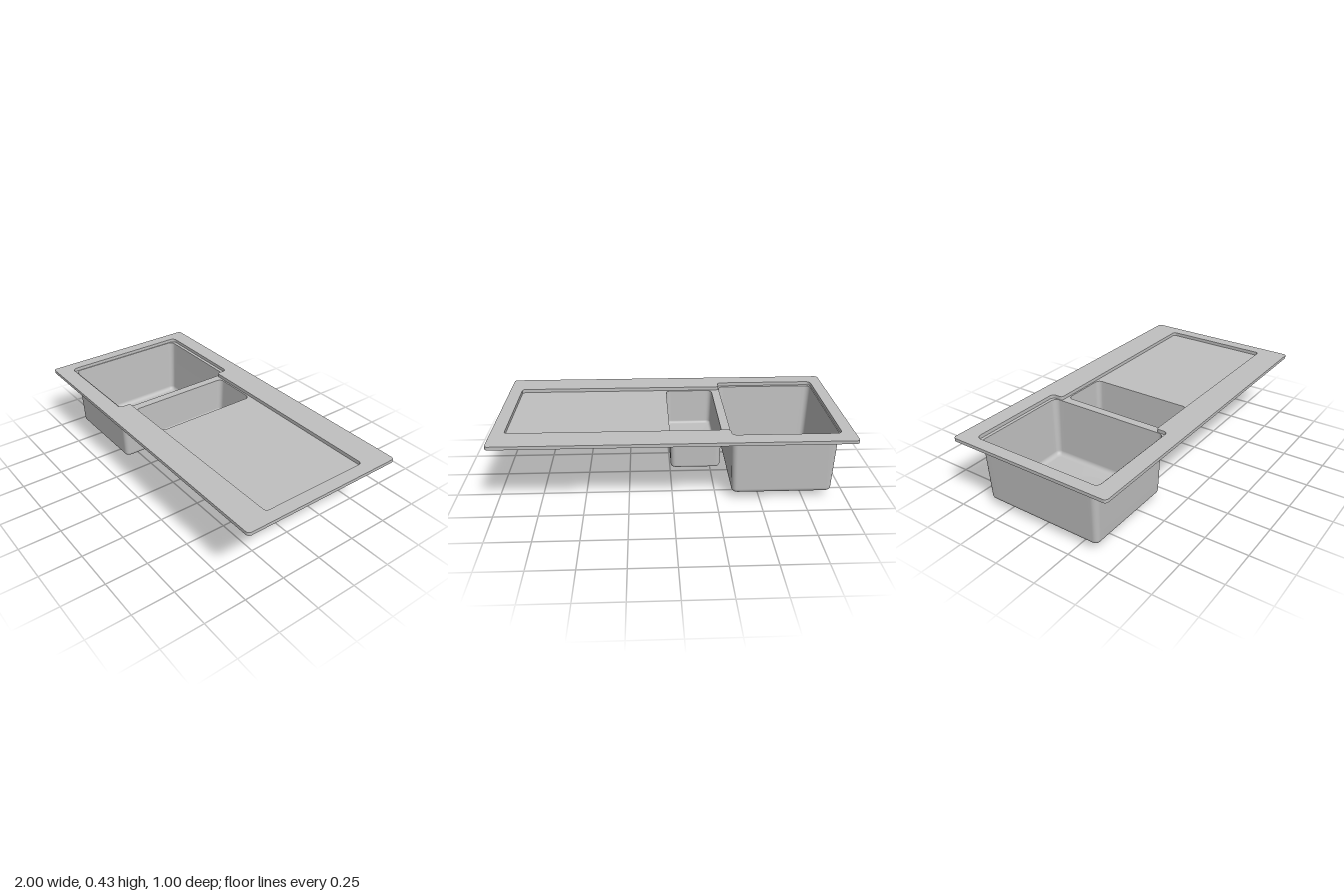
import * as THREE from 'three';

const RIM_Y = 0.428, SKIRT_Y = 0.409, TRAY_Y = 0.407;
const steel = new THREE.MeshStandardMaterial({ color: 0xc0c0c0, side: THREE.DoubleSide });
steel.name = 'brushed steel';

// Outline in (x, z) with right-angled corners [x, z, radius] rounded off; sides split evenly
function outline(corners, sideSteps = 1, arcSteps = 6) {
  const n = corners.length, arcs = [];
  corners.forEach(([x, z, r], i) => {
    const p = new THREE.Vector2(x, z);
    const [px, pz] = corners[(i + n - 1) % n], [nx, nz] = corners[(i + 1) % n];
    const u = new THREE.Vector2(px, pz).sub(p).normalize();
    const v = new THREE.Vector2(nx, nz).sub(p).normalize();
    const arc = [];
    for (let k = 0; k <= arcSteps; k++) {
      const t = (k / arcSteps) * Math.PI / 2;
      arc.push(p.clone().addScaledVector(u, r * (1 - Math.sin(t))).addScaledVector(v, r * (1 - Math.cos(t))));
    }
    arcs.push(arc);
  });
  const pts = [];
  arcs.forEach((arc, i) => {
    pts.push(...arc);
    const a = arc[arcSteps], b = arcs[(i + 1) % n][0];
    for (let k = 1; k < sideSteps; k++) pts.push(a.clone().lerp(b, k / sideSteps));
  });
  return pts;
}

const rect = (x0, x1, z, r, steps) => outline([[x0, -z, r], [x1, -z, r], [x1, z, r], [x0, z, r]], steps);

// Closed skin through rings given as { pts, y }
function loft(rings) {
  const n = rings[0].pts.length, pos = [], idx = [];
  rings.forEach(({ pts, y }) => pts.forEach(p => pos.push(p.x, y, p.y)));
  for (let r = 0; r < rings.length - 1; r++) {
    for (let i = 0; i < n; i++) {
      const a = r * n + i, b = r * n + (i + 1) % n;
      idx.push(a, b, a + n, b, b + n, a + n);
    }
  }
  const g = new THREE.BufferGeometry();
  g.setAttribute('position', new THREE.Float32BufferAttribute(pos, 3));
  g.setIndex(idx);
  g.computeVertexNormals();
  return g;
}

// Horizontal sheet with holes
function sheet(pts, holes, y) {
  const flip = list => list.map(p => new THREE.Vector2(p.x, -p.y));
  const shape = new THREE.Shape(flip(pts));
  holes.forEach(h => shape.holes.push(new THREE.Path(flip(h))));
  return new THREE.ShapeGeometry(shape).rotateX(-Math.PI / 2).translate(0, y, 0);
}

function add(parent, name, geometry) {
  const mesh = new THREE.Mesh(geometry, steel);
  mesh.name = name;
  parent.add(mesh);
  return mesh;
}

// Tapered bowl with filleted floor and a drain
function makeBowl(name, { x0, x1, z, taper, corner, fillet, floor, drainX, outletY }) {
  const bowl = new THREE.Group();
  bowl.name = name;
  const drainR = 0.119, floorEdge = floor + 0.006;
  const ring = (inset, y) => ({ pts: rect(x0 + inset, x1 - inset, z - inset, Math.max(corner - inset * 0.5, 0.008), 18), y });
  const rings = [ring(0, TRAY_Y)];
  for (let k = 0; k <= 6; k++) {
    const a = (k / 6) * Math.PI / 2;
    rings.push(ring(taper + fillet * (1 - Math.cos(a)), floorEdge + fillet * (1 - Math.sin(a))));
  }
  // The floor falls gently towards the drain
  const circle = rings[rings.length - 1].pts.map(p => {
    const a = Math.atan2(p.y, p.x - drainX);
    return new THREE.Vector2(drainX + drainR * Math.cos(a), drainR * Math.sin(a));
  });
  rings.push({ pts: circle, y: floor });
  add(bowl, 'bowlShell', loft(rings));

  const cap = add(bowl, 'drainCover', new THREE.CircleGeometry(drainR + 0.001, 48).rotateX(-Math.PI / 2));
  cap.position.set(drainX, floor + 0.001, 0);
  const profile = [[0.073, outletY], [0.073, floor - 0.019], [0.076, floor - 0.012], [0.083, floor - 0.006],
    [0.095, floor - 0.002], [drainR, floor]].map(p => new THREE.Vector2(...p));
  add(bowl, 'drainOutlet', new THREE.LatheGeometry(profile, 48)).position.x = drainX;
  const base = add(bowl, 'drainBase', new THREE.CircleGeometry(0.073, 48).rotateX(Math.PI / 2));
  base.position.set(drainX, outletY, 0);
  return bowl;
}

export function createModel() {
  const sink = new THREE.Group();
  sink.name = 'kitchenSink';

  const large = { x0: -0.925, x1: -0.325, z: 0.38, taper: 0.013, corner: 0.035, fillet: 0.028, floor: 0.034, drainX: -0.535, outletY: 0 };
  const small = { x0: -0.275, x1: 0.014, z: 0.32, taper: 0.005, corner: 0.03, fillet: 0.016, floor: 0.181, drainX: -0.13, outletY: 0.153 };

  // Recess is wider around the large bowl
  const rimLine = rect(-1, 1, 0.5, 0.02);
  const trayLine = outline([
    [-0.93, -0.4, 0.03], [-0.322, -0.4, 0.025], [-0.322, -0.33, 0.015], [0.925, -0.33, 0.02],
    [0.925, 0.33, 0.02], [-0.322, 0.33, 0.015], [-0.322, 0.4, 0.025], [-0.93, 0.4, 0.03],
  ]);
  const opening = b => rect(b.x0, b.x1, b.z, b.corner, 18);

  add(sink, 'rim', sheet(rimLine, [trayLine], RIM_Y));
  add(sink, 'rimSkirt', loft([{ pts: rimLine, y: RIM_Y }, { pts: rimLine, y: SKIRT_Y }]));
  add(sink, 'recessWall', loft([{ pts: trayLine, y: RIM_Y }, { pts: trayLine, y: TRAY_Y }]));
  add(sink, 'drainingBoard', sheet(trayLine, [opening(large), opening(small)], TRAY_Y));
  sink.add(makeBowl('largeBowl', large), makeBowl('smallBowl', small));
  return sink;
}
